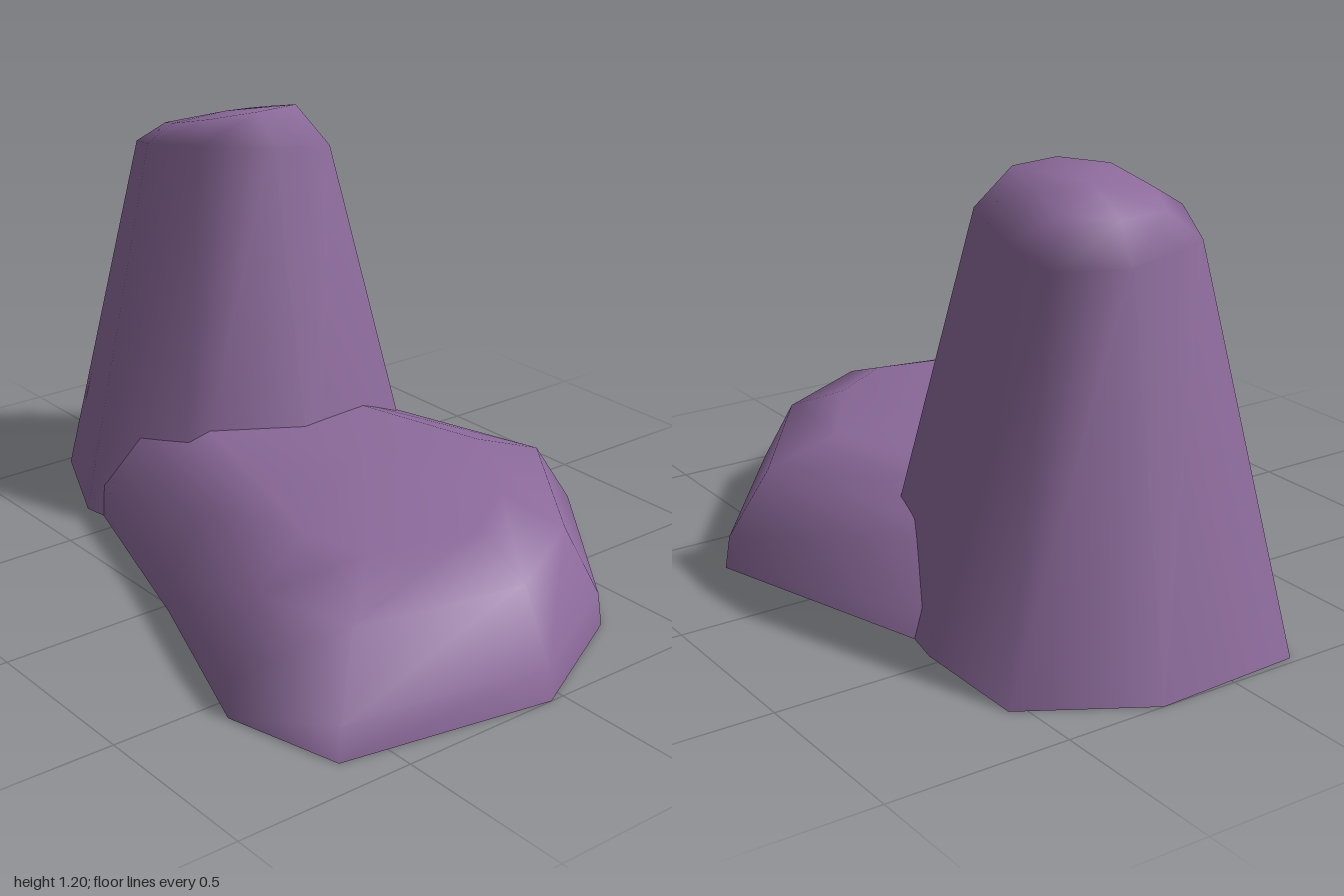
import * as THREE from 'three';

// Joins rings of points from bottom to top and closes the crown; the base stays open
function rockGeometry(rings, crown) {
  const n = rings[0].length;
  const positions = [...rings.flat(2), ...crown];
  const index = [];
  for (let r = 0; r < rings.length - 1; r++) {
    for (let i = 0; i < n; i++) {
      const j = (i + 1) % n;
      const a = r * n + i, b = r * n + j, c = b + n, d = a + n;
      index.push(b, a, d, b, d, c);
    }
  }
  const top = (rings.length - 1) * n;
  for (let i = 0; i < n; i++) index.push(rings.length * n, top + (i + 1) % n, top + i);
  const geometry = new THREE.BufferGeometry();
  geometry.setAttribute('position', new THREE.Float32BufferAttribute(positions, 3));
  geometry.setIndex(index);
  geometry.computeVertexNormals();
  return geometry;
}

// Shrinks an outline towards a centre and lifts it by a height rule
function ring(outline, [cx, cz], sx, sz, height) {
  return outline.map(([px, pz]) => {
    const x = cx + (px - cx) * sx, z = cz + (pz - cz) * sz;
    return [x, height(x, z), z];
  });
}

export function createModel() {
  const group = new THREE.Group();
  group.name = 'rocks';
  const stone = new THREE.MeshStandardMaterial({ color: 0x8c6a9b, side: THREE.DoubleSide });
  stone.name = 'purple stone';

  // Tall tapering rock with a slanted crown
  const tallBase = [
    [-0.98, 0.2], [-1, -0.22], [-0.81, -0.54], [-0.46, -0.54],
    [-0.07, -0.46], [-0.04, -0.05], [-0.24, 0.28], [-0.65, 0.345],
  ];
  const tallCentre = [-0.53, -0.1];
  const tall = new THREE.Mesh(rockGeometry([
    ring(tallBase, tallCentre, 1, 1, () => 0),
    ring(tallBase, tallCentre, 0.52, 0.52, (x, z) => 1.075 + 0.17 * (x + 0.53) + 0.15 * (z + 0.1)),
    ring(tallBase, tallCentre, 0.35, 0.35, (x) => 1.16 + 0.25 * (x + 0.53)),
  ], [-0.53, 1.17, -0.1]), stone);
  tall.name = 'tallRock';

  // Low flat rock with rounded shoulders, running into the tall one
  const lowBase = [
    [-0.66, 0.31], [-0.56, -0.46], [0.31, -0.715], [0.8, -0.34],
    [1, 0.04], [0.895, 0.63], [0.57, 0.715], [0.03, 0.52],
  ];
  const lowProfile = [[0, 1, 1], [0.09, 0.985, 0.98], [0.27, 0.855, 0.81], [0.34, 0.62, 0.52]];
  const low = new THREE.Mesh(rockGeometry(
    lowProfile.map(([y, sx, sz]) => ring(lowBase, [0.17, -0.02], sx, sz, () => y)),
    [0.17, 0.34, -0.02]), stone);
  low.name = 'lowRock';

  group.add(tall, low);
  return group;
}
